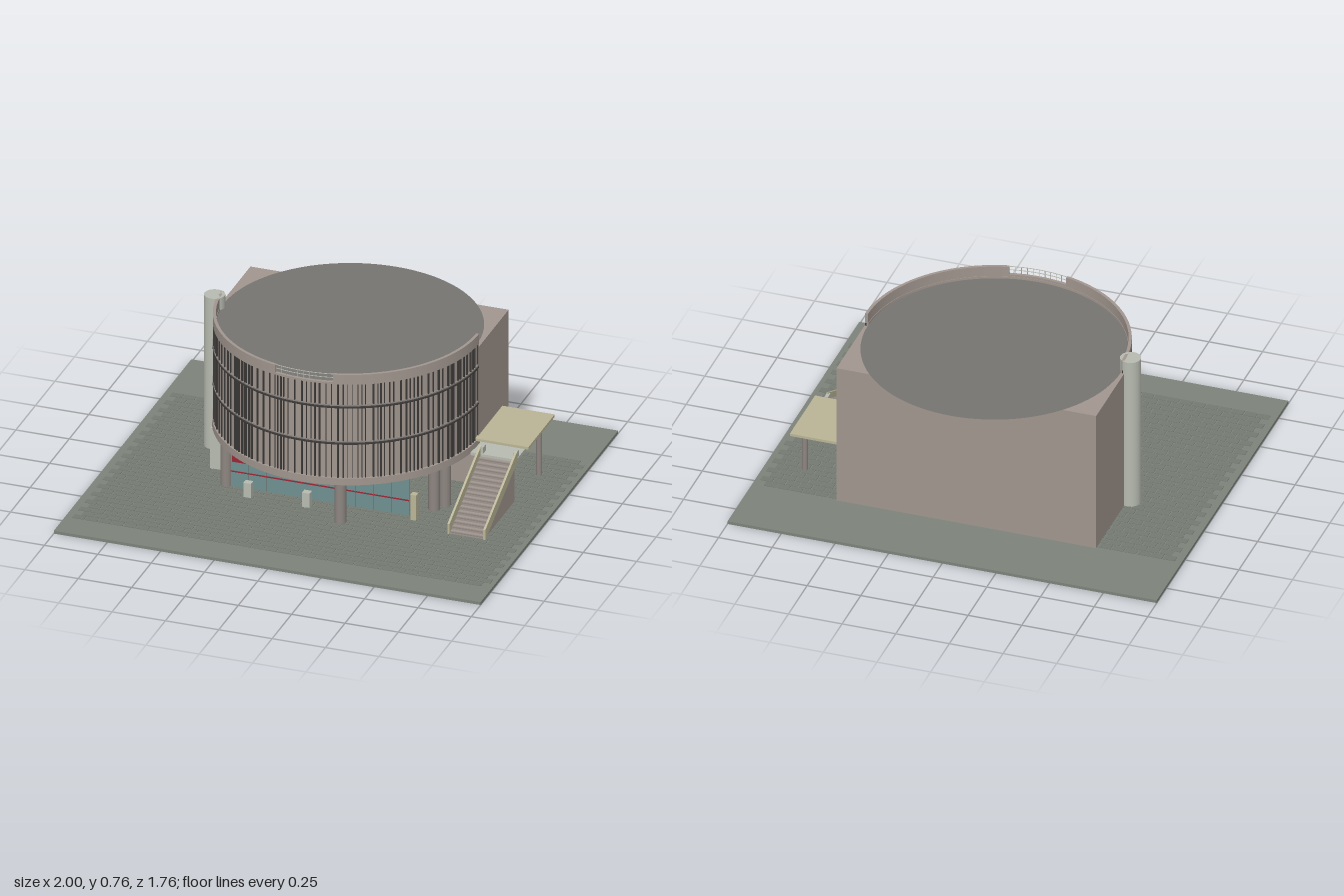
import * as THREE from 'three';
import { mergeGeometries, toCreasedNormals } from 'three/addons/utils/BufferGeometryUtils.js';

const mat = (color, side = THREE.FrontSide) => new THREE.MeshStandardMaterial({ color, side });
const M = {
  ground: mat(0x7d837b), paver: mat(0x747a72), brick: mat(0xa1968f), roof: mat(0x777470, THREE.DoubleSide),
  dark: mat(0x3c3a38), pale: mat(0xb7bbb0), cream: mat(0xbab597), glass: mat(0x6f9090), red: mat(0x9c2433),
  concrete: mat(0x8d8580),
};
const CZ = -0.18; // centre of the drum in z

export function createModel() {
  const root = new THREE.Group();
  const add = (name, geo, material, x = 0, y = 0, z = 0, parent = root) => {
    const m = new THREE.Mesh(geo, material);
    m.name = name;
    m.position.set(x, y, z);
    parent.add(m);
    return m;
  };
  // box given by its limits
  const block = (name, material, x0, x1, y0, y1, z0, z1, parent = root) =>
    add(name, new THREE.BoxGeometry(x1 - x0, y1 - y0, z1 - z0), material,
      (x0 + x1) / 2, (y0 + y1) / 2, (z0 + z1) / 2, parent);
  const post = (name, material, x, z, r, y0, y1) =>
    add(name, new THREE.CylinderGeometry(r, r, y1 - y0, 24), material, x, (y0 + y1) / 2, z);
  // upright curved wall following the drum; angle 0 is +x, PI/2 the front
  const arcWall = (name, material, ri, ro, y0, y1, a0 = 0, a1 = Math.PI) => {
    const s = new THREE.Shape();
    s.absarc(0, 0, ro, a0, a1, false);
    s.absarc(0, 0, ri, a1, a0, true);
    s.closePath();
    const g = new THREE.ExtrudeGeometry(s, { depth: y1 - y0, bevelEnabled: false, curveSegments: 48 });
    g.rotateX(Math.PI / 2);
    return add(name, toCreasedNormals(g, 0.5), material, 0, y1, CZ);
  };

  // ground and running-bond paving
  block('groundSlab', M.ground, -1, 1, 0, 0.014, -0.88, 0.88);
  const pavers = [];
  for (let r = 0; r < 33; r++) {
    for (let c = 0; c < 32; c++) {
      const g = new THREE.BoxGeometry(0.054, 0.003, 0.035);
      g.translate(-0.94 + c * 0.06 + (r % 2) * 0.03, 0.0145, -0.53 + r * 0.039);
      pavers.push(g);
    }
  }
  add('paving', mergeGeometries(pavers), M.paver);

  // rear block and round roof
  block('rearBlock', M.brick, -0.605, 0.605, 0.014, 0.698, -0.557, CZ);
  const disc = new THREE.CircleGeometry(0.59, 96);
  disc.rotateX(-Math.PI / 2);
  add('roofDisc', disc, M.roof, 0, 0.701, CZ);

  // curved front: floor, base ring, three tiers and parapet
  add('drumFloor', new THREE.CylinderGeometry(0.595, 0.595, 0.012, 64, 1, false, -Math.PI / 2, Math.PI),
    M.concrete, 0, 0.225, CZ);
  arcWall('baseRing', M.brick, 0.575, 0.608, 0.216, 0.25);
  const tiers = [[0.25, 0.418], [0.43, 0.597], [0.608, 0.712]];
  tiers.forEach(([y0, y1]) => arcWall('facadeTier', M.brick, 0.588, 0.597, y0, y1));
  [0.418, 0.597].forEach((y) => {
    arcWall('bandLower', M.dark, 0.588, 0.605, y - 0.003, y + 0.003);
    arcWall('bandUpper', M.concrete, 0.588, 0.605, y + 0.008, y + 0.014);
  });
  const gap = 0.226;
  arcWall('parapetLeft', M.brick, 0.59, 0.604, 0.712, 0.76, 0, Math.PI / 2 - gap);
  arcWall('parapetRight', M.brick, 0.59, 0.604, 0.712, 0.76, Math.PI / 2 + gap, Math.PI);
  arcWall('parapetSill', M.brick, 0.59, 0.604, 0.712, 0.722, Math.PI / 2 - gap, Math.PI / 2 + gap);

  // railing in the parapet opening
  [0.741, 0.758].forEach((y) =>
    arcWall('railingBar', M.pale, 0.596, 0.599, y, y + 0.002, Math.PI / 2 - gap, Math.PI / 2 + gap));
  for (let i = 0; i <= 10; i++) {
    const a = Math.PI / 2 - gap + (i / 10) * 2 * gap;
    add('railingPost', new THREE.BoxGeometry(0.002, 0.038, 0.002), M.pale,
      Math.cos(a) * 0.597, 0.741, CZ + Math.sin(a) * 0.597);
  }

  // irregular upright fins on the facade
  let seed = 7;
  const rnd = () => (seed = (seed * 16807) % 2147483647) / 2147483647;
  const fins = [];
  for (let a = 0.01; a < Math.PI; a += 0.018 + rnd() * 0.045) {
    const w = rnd() > 0.65 ? 0.007 : 0.003;
    tiers.forEach(([y0, y1]) => {
      const g = new THREE.BoxGeometry(0.01, y1 - y0, w);
      g.translate(0.599, (y0 + y1) / 2, 0);
      g.rotateY(-a);
      fins.push(g);
    });
  }
  add('facadeFins', mergeGeometries(fins), M.dark, 0, 0, CZ);

  // columns under the drum and the tall corner cylinder
  [[-0.44, 0.2], [0.155, 0.365], [0.5, 0.11], [0.53, 0.05]].forEach(([x, z]) =>
    post('column', M.concrete, x, z, 0.026, 0.014, 0.22));
  post('cornerCylinder', M.pale, -0.62, -0.14, 0.047, 0.014, 0.76);

  // glazed entrance
  const entrance = new THREE.Group();
  entrance.name = 'entrance';
  root.add(entrance);
  block('glassWall', M.glass, -0.42, 0.42, 0.014, 0.2, 0.2, 0.208, entrance);
  block('transom', M.red, -0.42, 0.42, 0.088, 0.093, 0.207, 0.212, entrance);
  for (let i = 0; i <= 10; i++) {
    const x = -0.42 + i * 0.084;
    block('mullion', M.concrete, x - 0.0015, x + 0.0015, 0.014, 0.2, 0.206, 0.211, entrance);
  }
  block('signBoard', M.red, -0.39, 0.085, 0.167, 0.2, 0.255, 0.265, entrance);
  block('sidePier', M.pale, -0.56, -0.46, 0.014, 0.215, 0.0, 0.08, entrance);
  [-0.31, -0.035].forEach((x) => block('bollard', M.pale, x - 0.018, x + 0.018, 0.014, 0.086, 0.26, 0.29, entrance));
  block('entrancePillar', M.cream, 0.438, 0.465, 0.014, 0.14, 0.215, 0.245, entrance);

  // outside stair
  const stair = new THREE.Group();
  stair.name = 'stair';
  root.add(stair);
  const n = 16, run = 0.39 / n, rise = 0.196 / n;
  for (let i = 0; i < n; i++) {
    const z1 = 0.31 - i * run;
    block('step', M.brick, 0.645, 0.807, 0.014, 0.014 + (i + 1) * rise, z1 - run, z1, stair);
    block('nosing', M.concrete, 0.645, 0.807, 0.011 + (i + 1) * rise, 0.015 + (i + 1) * rise, z1 - 0.006, z1 + 0.002, stair);
  }
  const side = new THREE.Shape([[0.315, 0.014], [0.315, 0.065], [-0.095, 0.258], [-0.095, 0.205]]
    .map(([z, y]) => new THREE.Vector2(z, y)));
  const sideGeo = new THREE.ExtrudeGeometry(side, { depth: 0.01, bevelEnabled: false });
  sideGeo.rotateY(-Math.PI / 2);
  [0.647, 0.815].forEach((x) => add('stairParapet', sideGeo, M.cream, x, 0, 0, stair));
  block('landing', M.pale, 0.6, 0.815, 0.208, 0.222, -0.2, -0.08, stair);
  [0.65, 0.805].forEach((x) => block('landingRail', M.pale, x - 0.008, x + 0.008, 0.222, 0.252, -0.12, -0.085, stair));

  // canopy beside the drum
  block('canopy', M.cream, 0.6, 0.85, 0.25, 0.262, -0.477, -0.14);
  [0.66, 0.82].forEach((x) => post('canopyPost', M.concrete, x, -0.36, 0.013, 0.014, 0.25));

  return root;
}
